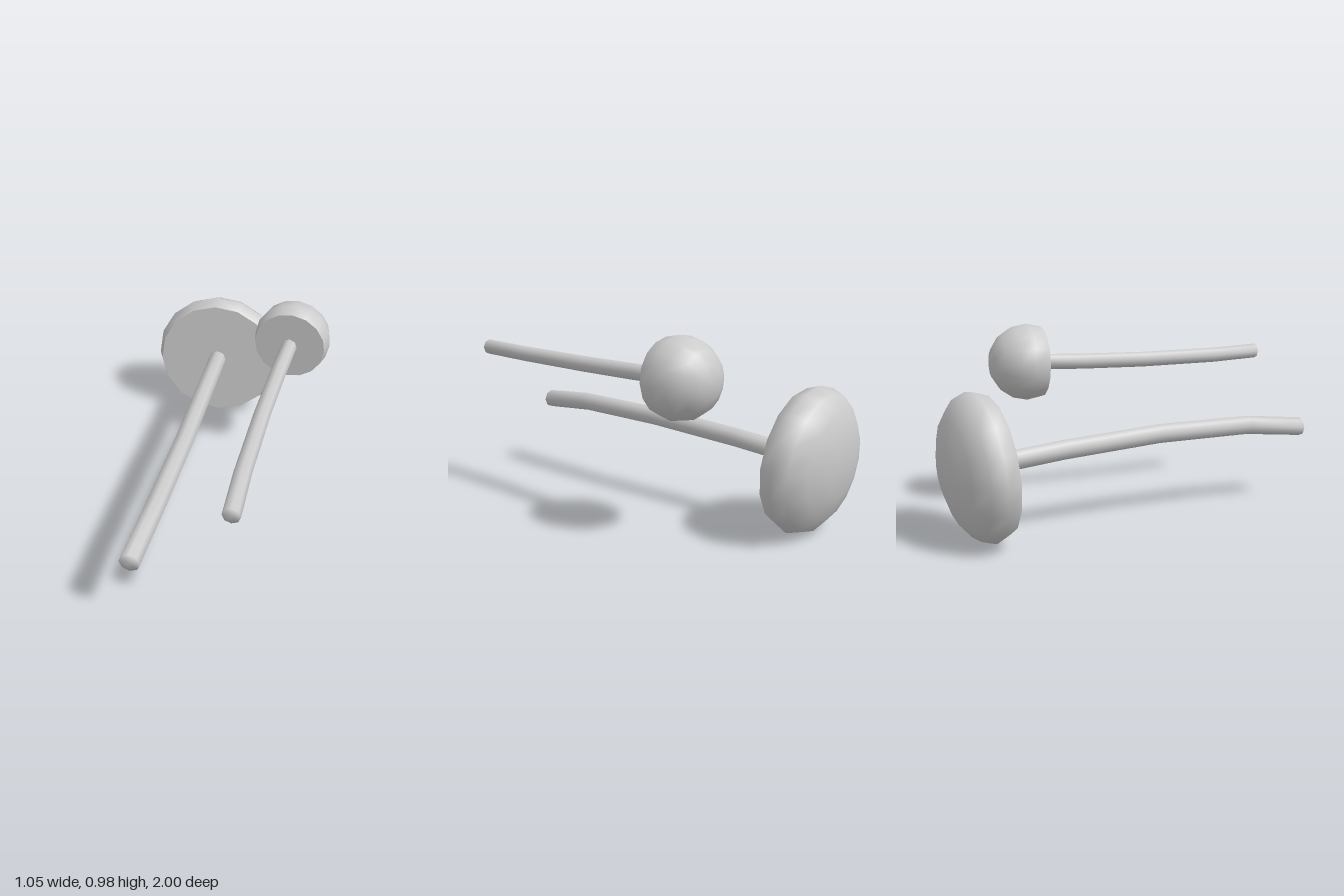
import * as THREE from 'three';
import { mergeVertices } from 'three/addons/utils/BufferGeometryUtils.js';

const material = new THREE.MeshStandardMaterial({ color: 0xcccccc });
const UP = new THREE.Vector3(0, 1, 0);

function addMesh(parent, name, geometry) {
  const mesh = new THREE.Mesh(geometry, material);
  mesh.name = name;
  parent.add(mesh);
}

// Squashed sphere cut just below its equator and closed by a flat disc
function makeCap(radius, dome, center, axis) {
  const cap = new THREE.Group();
  cap.name = 'cap';
  const cut = Math.PI * 0.625;
  const top = new THREE.SphereGeometry(radius, 16, 5, 0, Math.PI * 2, 0, cut);
  top.scale(1, dome / radius, 1);
  addMesh(cap, 'capDome', top);

  const under = new THREE.CircleGeometry(radius * Math.sin(cut), 16);
  under.rotateX(Math.PI / 2).translate(0, dome * Math.cos(cut), 0);
  addMesh(cap, 'capUnderside', under);

  cap.position.set(...center);
  cap.quaternion.setFromUnitVectors(UP, new THREE.Vector3(...axis).normalize());
  return cap;
}

// Eight-sided rod whose rings are moved onto the points of a path along z
function makeStem(parent, radius, path) {
  const n = path.length - 1;
  let geometry = new THREE.CylinderGeometry(radius, radius, n, 8, n);
  geometry.rotateX(Math.PI / 2);
  const pos = geometry.attributes.position;
  for (let i = 0; i < pos.count; i++) {
    const [x, y, z] = path[Math.round(n / 2 - pos.getZ(i))];
    pos.setXYZ(i, pos.getX(i) + x, pos.getY(i) + y, z);
  }
  // Shared vertices give softly shaded ends
  geometry.deleteAttribute('normal');
  geometry.deleteAttribute('uv');
  geometry = mergeVertices(geometry);
  geometry.computeVertexNormals();
  addMesh(parent, 'stem', geometry);
}

function makeMushroom(name, cap, stemRadius, path) {
  const mushroom = new THREE.Group();
  mushroom.name = name;
  mushroom.add(cap);
  makeStem(mushroom, stemRadius, path);
  return mushroom;
}

export function createModel() {
  const model = new THREE.Group();
  model.name = 'mushrooms';

  model.add(makeMushroom(
    'largeMushroom',
    makeCap(0.365, 0.185, [-0.163, 0.366, -0.813], [-0.06, -0.08, -1]),
    0.05,
    [[-0.145, 0.405, 1], [-0.128, 0.437, 0.67], [-0.126, 0.436, 0.15],
      [-0.145, 0.407, -0.38], [-0.165, 0.37, -0.81]],
  ));

  model.add(makeMushroom(
    'smallMushroom',
    makeCap(0.2, 0.2, [0.324, 0.784, -0.413], [0.045, 0.01, -1]),
    0.041,
    [[0.31, 0.776, 0.99], [0.296, 0.767, 0.7], [0.295, 0.766, 0.25],
      [0.307, 0.773, -0.1], [0.322, 0.784, -0.4]],
  ));

  return model;
}
